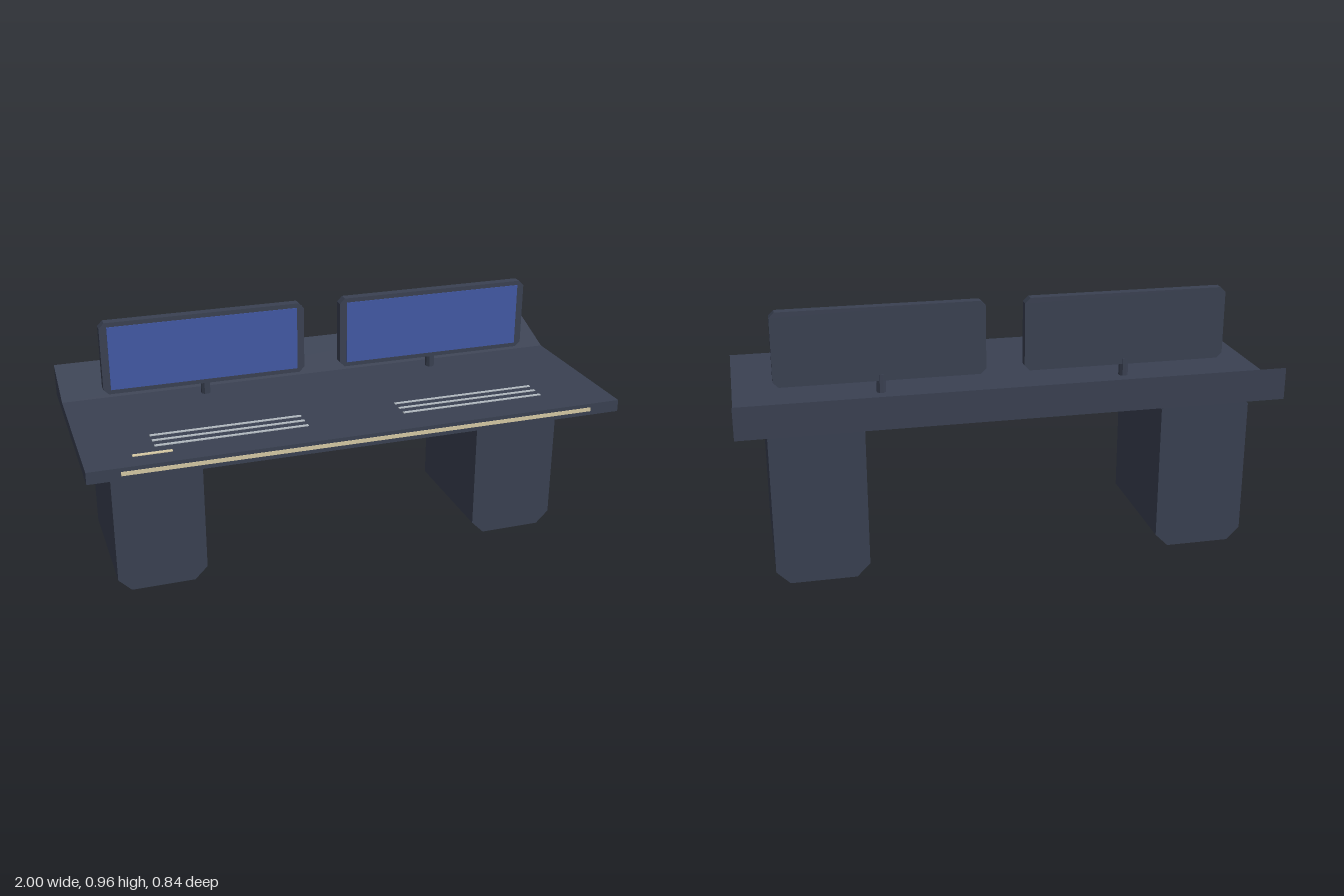
import * as THREE from 'three';

const material = (name, color) => {
  const m = new THREE.MeshStandardMaterial({ color });
  m.name = name;
  return m;
};

export function createModel() {
  const slate = material('slate body', 0x3a4152);
  const blue = material('blue screen', 0x4259a6);
  const cream = material('cream light', 0xd8cba6);
  const grey = material('pale grey line', 0xb4bcc2);
  const model = new THREE.Group();
  model.name = 'consoleDesk';

  const add = (name, geometry, mat, x, y, z) => {
    const mesh = new THREE.Mesh(geometry, mat);
    mesh.name = name;
    mesh.position.set(x, y, z);
    model.add(mesh);
    return mesh;
  };
  const box = (name, mat, w, h, d, x, y, z) =>
    add(name, new THREE.BoxGeometry(w, h, d), mat, x, y, z);

  // Extrudes a closed outline along z, centred in depth
  const prism = (points, depth) => {
    const shape = new THREE.Shape(points.map(([x, y]) => new THREE.Vector2(x, y)));
    return new THREE.ExtrudeGeometry(shape, { depth, bevelEnabled: false })
      .translate(0, 0, -depth / 2);
  };
  // Rectangular block with its four corners cut off
  const cutBlock = (w, h, d, c) => {
    const a = w / 2, b = h / 2;
    return prism([
      [a - c, -b], [a, -b + c], [a, b - c], [a - c, b],
      [c - a, b], [-a, b - c], [-a, c - b], [c - a, -b],
    ], d);
  };

  // Desktop with a raised wedge along the back, drawn as (z, y)
  const top = prism([
    [-0.42, 0.592], [0.42, 0.592], [0.42, 0.637], [-0.212, 0.637], [-0.42, 0.713],
  ], 2);
  top.rotateY(-Math.PI / 2);
  add('desktop', top, slate, 0, 0, 0);

  for (const side of [-1, 1]) {
    const label = side > 0 ? 'left' : 'right';
    const x = side * 0.463;

    // Pedestal, its top edge sunk into the desktop
    add(label + 'Pedestal', cutBlock(0.34, 0.61, 0.505, 0.049), slate, side * 0.719, 0.305, -0.102);

    // Monitor housing, screen and stand
    add(label + 'Monitor', cutBlock(0.78, 0.279, 0.036, 0.02), slate, x, 0.823, -0.143);
    box(label + 'Screen', blue, 0.724, 0.245, 0.004, x, 0.823, -0.124);
    const post = new THREE.CylinderGeometry(0.018, 0.018, 0.075, 8).toNonIndexed();
    post.computeVertexNormals();
    add(label + 'Stand', post.rotateY(Math.PI / 8), slate, x, 0.669, -0.146);

    // Keyboard rows
    for (const z of [0.19, 0.235, 0.28])
      box(label + 'KeyRow', grey, 0.56, 0.004, 0.012, x, 0.638, z);
  }

  // Light strips on the front edge and the desktop
  box('frontLightStrip', cream, 1.765, 0.015, 0.004, 0, 0.615, 0.42);
  box('deskLight', cream, 0.14, 0.004, 0.015, -0.76, 0.638, 0.338);
  return model;
}
